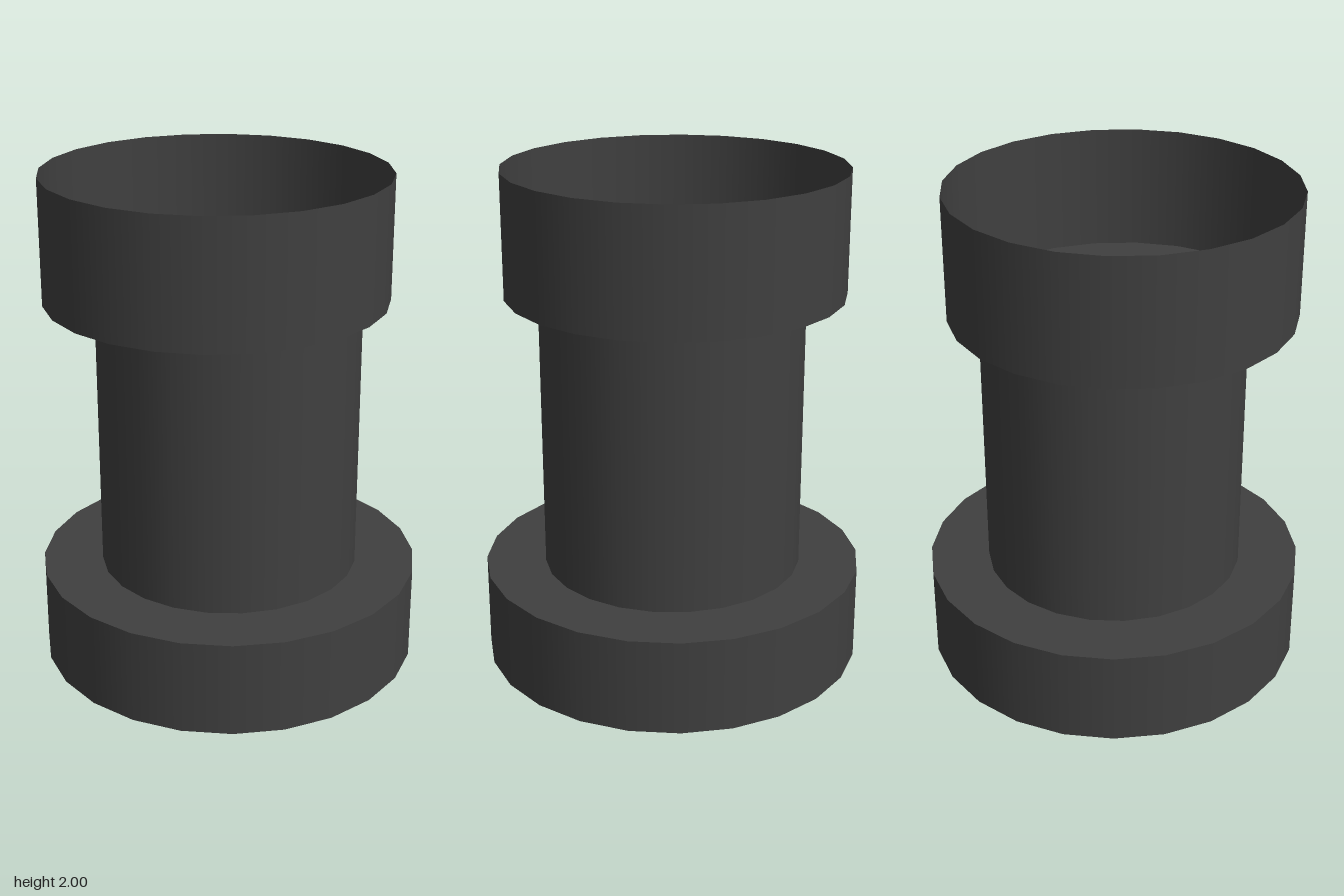
import * as THREE from 'three';

const SIDES = 24;
const FLOOR = 1.505; // height where the cup sits on the shaft

export function createModel() {
  const group = new THREE.Group();
  const solid = new THREE.MeshStandardMaterial({ color: 0x404040 });
  const thin = new THREE.MeshStandardMaterial({ color: 0x404040, side: THREE.DoubleSide });

  // Upright cylinder from y0 to y1, turned by a few degrees about its axis
  function drum(name, radius, y0, y1, turn, open = false) {
    const geometry = new THREE.CylinderGeometry(radius, radius, y1 - y0, SIDES, 1, open);
    geometry.rotateY(THREE.MathUtils.degToRad(turn));
    const mesh = new THREE.Mesh(geometry, open ? thin : solid);
    mesh.name = name;
    mesh.position.y = (y0 + y1) / 2;
    return mesh;
  }

  // Points of a regular polygon in the floor's own plane
  function ring(radius, turn, cx = 0, cy = 0) {
    return Array.from({ length: SIDES }, (_, i) => {
      const a = (i / SIDES) * Math.PI * 2 + THREE.MathUtils.degToRad(turn);
      return new THREE.Vector2(cx + radius * Math.cos(a), cy + radius * Math.sin(a));
    });
  }

  // Wide foot and the column standing on it
  group.add(drum('base', 0.768, 0, 0.385, -4.5));
  group.add(drum('shaft', 0.525, 0.385, FLOOR, 0));

  // Open cup, set slightly off the shaft's axis
  const cup = new THREE.Group();
  cup.name = 'cup';
  cup.position.set(-0.05, 0, -0.005);
  cup.add(drum('cupWall', 0.677, FLOOR, 2, 5.6, true));

  // Cup floor, with a hole filled by the top of the shaft
  const shape = new THREE.Shape(ring(0.677, 5.6));
  shape.holes.push(new THREE.Path(ring(0.525, 0, 0.05, -0.005)));
  const floor = new THREE.Mesh(new THREE.ShapeGeometry(shape).rotateX(-Math.PI / 2), thin);
  floor.name = 'cupFloor';
  floor.position.y = FLOOR;
  cup.add(floor);
  group.add(cup);

  return group;
}
